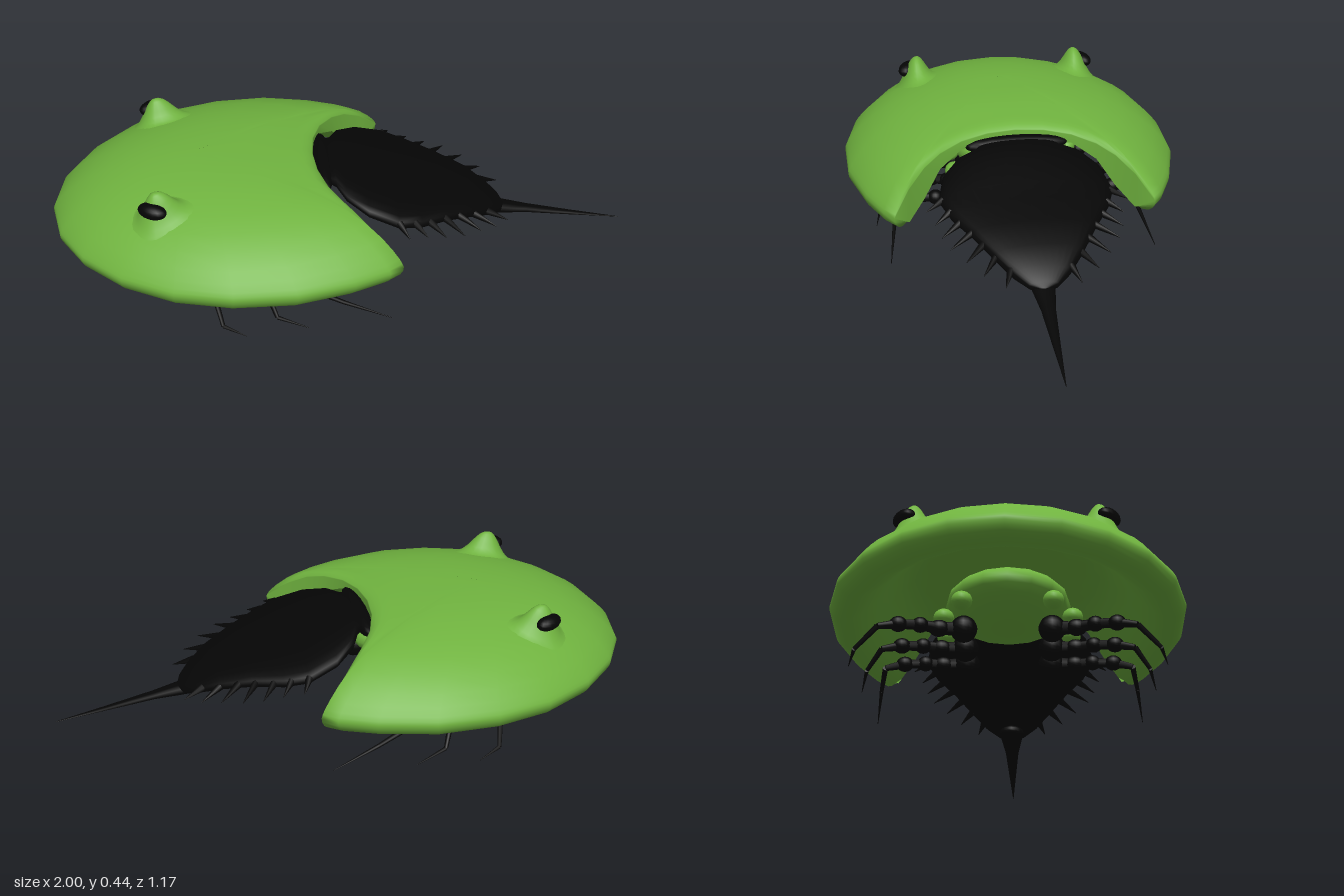
import * as THREE from 'three';
import { mergeVertices } from 'three/addons/utils/BufferGeometryUtils.js';

const green = new THREE.MeshStandardMaterial({ color: 0x70b33f, side: THREE.DoubleSide });
const black = new THREE.MeshStandardMaterial({ color: 0x050505, side: THREE.DoubleSide });
const V = (x, y, z) => new THREE.Vector3(x, y, z);
const { smoothstep } = THREE.MathUtils;

function add(parent, name, geometry, material) {
  const m = new THREE.Mesh(geometry, material);
  m.name = name;
  parent.add(m);
  return m;
}

// Skin closed rings of equal length into one smooth surface
function loft(rings) {
  const n = rings[0].length, index = [];
  for (let j = 0; j < rings.length - 1; j++) {
    for (let i = 0; i < n; i++) {
      const k = (i + 1) % n;
      const a = j * n + i, b = a + n, c = (j + 1) * n + k, d = j * n + k;
      index.push(a, b, c, a, c, d);
    }
  }
  const g = new THREE.BufferGeometry().setFromPoints(rings.flat());
  g.setIndex(index);
  const merged = mergeVertices(g, 1e-4);
  merged.computeVertexNormals();
  return merged;
}

// Ring of n points from a rule of the angle
const ringOf = (n, rule) => Array.from({ length: n }, (_, i) => rule(i / n * Math.PI * 2));

function ellipsoid(parent, name, mat, pos, scale) {
  const m = add(parent, name, new THREE.SphereGeometry(1, 16, 12), mat);
  m.position.set(...pos);
  m.scale.set(...scale);
  return m;
}

// Tapered rod from a to b
function rod(parent, name, a, b, ra, rb) {
  const m = add(parent, name, new THREE.CylinderGeometry(rb, ra, a.distanceTo(b), 8), black);
  m.position.copy(a).add(b).multiplyScalar(0.5);
  m.quaternion.setFromUnitVectors(V(0, 1, 0), b.clone().sub(a).normalize());
}

// Heights of the shell, by distance r from the middle of its oval plan
const oval = (x, z) => Math.hypot((x + 0.3) / 0.7, z / 0.585);
function topHeight(r, x, z) {
  const dip = 0.015 * smoothstep(x, -0.32, -0.1) * (1 - smoothstep(Math.abs(z), 0.15, 0.4));
  return 0.2 + 0.21 * (1 - r ** 3) ** 0.76 - dip;
}
function underHeight(r, x, z) {
  if (r > 0.91) return 0.2 - 0.055 * Math.sqrt(1 - ((r - 0.91) / 0.09) ** 2);
  const y = 0.145 + 0.185 * (1 - smoothstep(r, 0.5, 0.9));
  return Math.min(y, topHeight(r, x, z) - 0.03);
}

function shellGeometry() {
  // Half of the plan outline, from the front to the middle of the rear notch
  const half = [[-1, 0], [-0.97, 0.17], [-0.89, 0.315], [-0.76, 0.445], [-0.59, 0.54],
    [-0.4, 0.586], [-0.19, 0.586], [0, 0.537], [0.12, 0.485], [0.167, 0.45], [0.1, 0.395],
    [0.04, 0.335], [-0.01, 0.275], [-0.06, 0.195], [-0.09, 0.1], [-0.1, 0]];
  const outline = [...half, ...half.slice(1, -1).reverse().map(([x, z]) => [x, -z])];
  const ring = (t, height, roll) => outline.map(([px, pz]) => {
    const x = -0.5 + t * (px + 0.5), z = t * pz;
    // Outer corners count as exactly on the rim
    const rim = oval(px, pz);
    const r = Math.min(1, oval(x, z) / (rim > 0.93 ? rim : 1));
    // The notch edge rolls over softly
    const drop = roll * Math.max(0, (t - 0.9) / 0.1) ** 2 * (1 - smoothstep(r, 0.85, 1));
    return V(x, height(r, x, z) - drop, z);
  });
  const top = [0, 0.15, 0.3, 0.45, 0.6, 0.72, 0.82, 0.9, 0.95, 0.98, 0.993, 1];
  const under = [1, 0.997, 0.985, 0.965, 0.93, 0.88, 0.82, 0.75, 0.68, 0.6, 0.52, 0.44, 0.3, 0];
  return loft([...top.map(t => ring(t, topHeight, 0.018)),
    ...under.map(t => ring(t, underHeight, 0))]);
}

// Arched plate: stations of [x, half width, top height, thickness]
function abdomenGeometry() {
  const stations = [[-0.06, 0.01, 0.35, 0.01], [-0.06, 0.13, 0.362, 0.035], [-0.03, 0.15, 0.365, 0.05],
    [0, 0.215, 0.361, 0.06], [0.07, 0.275, 0.345, 0.07], [0.17, 0.3, 0.313, 0.07],
    [0.25, 0.27, 0.288, 0.07], [0.35, 0.21, 0.26, 0.065], [0.45, 0.15, 0.225, 0.065],
    [0.52, 0.095, 0.185, 0.06], [0.56, 0.05, 0.15, 0.035], [0.575, 0.005, 0.13, 0.005]];
  return loft(stations.map(([x, w, top, thick]) => ringOf(28, a => {
    const z = Math.cos(a) * w, s = Math.sin(a);
    return V(x, top - thick / 2 + Math.sign(s) * Math.abs(s) ** 0.7 * thick / 2 - 0.25 * z * z, z);
  })));
}

function buildEye(side) {
  const eye = new THREE.Group();
  eye.name = side > 0 ? 'leftEye' : 'rightEye';
  // Lid: a bump that swells out of the shell and trails off to the rear
  const rings = [0, 0.1, 0.2, 0.3, 0.4, 0.5, 0.62, 0.75, 0.88, 1];
  add(eye, 'eyelid', loft(rings.map(t => ringOf(24, a => {
    const dx = -Math.cos(a) * t * (Math.cos(a) > 0 ? 0.09 : 0.16), dz = Math.sin(a) * t * 0.1;
    const x = -0.64 + dx, z = side * 0.302 + dz;
    const q = Math.hypot(dx / (dx > 0 ? 0.075 : 0.046), dz / 0.046);
    const bump = 0.09 * Math.exp(-(q ** 2.4)) - 0.006 * t * t;
    return V(x, topHeight(oval(x, z), x, z) + bump, z);
  }))), green);
  const ball = ellipsoid(eye, 'eyeball', black, [-0.648, 0.389, side * 0.327], [0.052, 0.026, 0.032]);
  ball.rotation.y = side * -0.55;
  return eye;
}

function buildLeg(hipX, kneeX, midX, midY, tipX, reach, side) {
  const leg = new THREE.Group();
  leg.name = side > 0 ? 'leftLeg' : 'rightLeg';
  const p = [V(hipX, 0.13, 0.145), V(hipX * 0.8 + kneeX * 0.2, 0.125, 0.225),
    V((hipX + kneeX) / 2, 0.125, 0.285), V(hipX * 0.3 + kneeX * 0.7, 0.12, 0.355),
    V(kneeX, 0.1, 0.42), V(midX, midY, reach - 0.025), V(tipX, 0.003, reach)];
  p.forEach(v => { v.z *= side; });
  const beads = [[0.045, 0.045], [0.028, 0.035], [0.026, 0.028], [0.026, 0.03]];
  beads.forEach(([ry, rz], i) =>
    ellipsoid(leg, 'legJoint', black, p[i].toArray(), [ry, ry, rz]));
  const radii = [0.026, 0.02, 0.017, 0.016, 0.01, 0.007, 0.001];
  for (let i = 0; i < 6; i++) rod(leg, 'legSegment', p[i], p[i + 1], radii[i], radii[i + 1]);
  return leg;
}

export function createModel() {
  const model = new THREE.Group();
  model.name = 'horseshoeCrab';

  add(model, 'shell', shellGeometry(), green);
  add(model, 'abdomen', abdomenGeometry(), black);
  ellipsoid(model, 'hinge', black, [-0.065, 0.335, 0], [0.035, 0.035, 0.18]);

  // Soft body below the shell
  ellipsoid(model, 'body', green, [-0.27, 0.26, 0], [0.24, 0.085, 0.21]);

  // Tail spike
  ellipsoid(model, 'tailJoint', black, [0.52, 0.125, 0], [0.045, 0.026, 0.045]);
  const tail = [[0.52, 0.045, 0.022, 0.124], [0.57, 0.037, 0.018, 0.115], [0.66, 0.024, 0.011, 0.1],
    [0.82, 0.013, 0.006, 0.071], [1, 0.001, 0.001, 0.04]];
  add(model, 'tail', loft(tail.map(([x, w, h, y]) =>
    ringOf(10, a => V(x, y + Math.sin(a) * h, Math.cos(a) * w)))), black);

  // Spines on the abdomen edge: base x, z, height, then tip x, z
  const spines = [[0.17, 0.285, 0.26, 0.2, 0.345], [0.225, 0.265, 0.245, 0.265, 0.32],
    [0.28, 0.24, 0.23, 0.33, 0.305], [0.335, 0.205, 0.22, 0.395, 0.285],
    [0.39, 0.175, 0.205, 0.46, 0.24], [0.445, 0.14, 0.185, 0.52, 0.19],
    [0.5, 0.1, 0.165, 0.57, 0.125]];
  for (const side of [1, -1]) {
    model.add(buildEye(side));
    for (const [x, z, y, tx, tz] of spines) {
      rod(model, 'abdomenSpine', V(x, y, z * side), V(tx, y - 0.025, tz * side), 0.014, 0.001);
    }
    model.add(buildLeg(-0.37, -0.46, -0.435, 0.03, -0.36, 0.52, side));
    model.add(buildLeg(-0.22, -0.285, -0.255, 0.035, -0.15, 0.495, side));
    model.add(buildLeg(-0.09, -0.13, -0.03, 0.06, 0.13, 0.465, side));
    // Small flaps around the body
    for (const [x, z] of [[-0.07, 0.15], [-0.15, 0.21], [-0.3, 0.215], [-0.43, 0.15]]) {
      ellipsoid(model, 'bodyFlap', green, [x, 0.205, z * side], [0.04, 0.03, 0.035]);
    }
  }
  return model;
}
